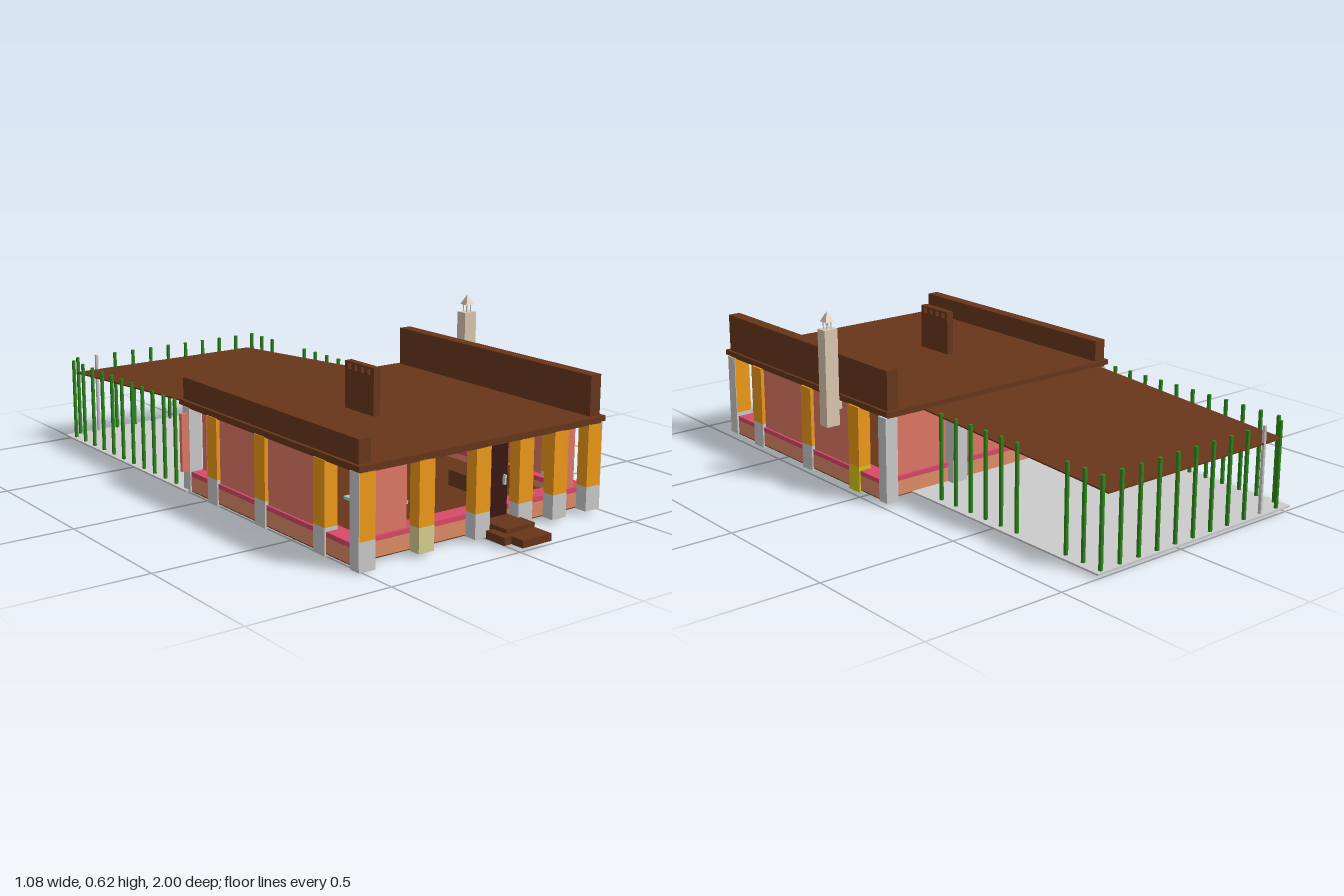
import * as THREE from 'three';

const mat = (color) => new THREE.MeshStandardMaterial({ color, side: THREE.DoubleSide, flatShading: true });
const M = {
  grey: mat(0xcccccc), brown: mat(0x68361a), dark: mat(0x3a1710), red: mat(0xe07866),
  base: mat(0xe08c68), sill: mat(0xd84a68), orange: mat(0xf09a18), yellow: mat(0xd8c818),
  khaki: mat(0xd8d090), beige: mat(0xdcc8b0), green: mat(0x2f8a1c), teal: mat(0x90d8c4),
};

export function createModel() {
  const root = new THREE.Group();
  const part = (name, parent = root) => {
    const g = new THREE.Group();
    g.name = name;
    parent.add(g);
    return g;
  };
  // Box given by its limits on each axis
  const box = (parent, name, m, x0, x1, y0, y1, z0, z1) => {
    const mesh = new THREE.Mesh(new THREE.BoxGeometry(x1 - x0, y1 - y0, z1 - z0), m);
    mesh.position.set((x0 + x1) / 2, (y0 + y1) / 2, (z0 + z1) / 2);
    mesh.name = name;
    parent.add(mesh);
    return mesh;
  };
  const column = (parent, x0, x1, z0, z1, foot = M.grey, body = M.orange, y0 = 0.01) => {
    const g = part('column', parent);
    box(g, 'columnFoot', foot, x0, x1, y0, 0.095, z0, z1);
    box(g, 'columnBody', body, x0, x1, 0.095, 0.306, z0, z1);
  };

  // Low base wall and sill around the floor, with a door gap at the front
  const base = part('baseWall');
  const low = (x0, x1, z0, z1) => {
    box(base, 'baseWallRun', M.base, x0, x1, 0.015, 0.066, z0, z1);
    box(base, 'sill', M.sill, x0, x1, 0.066, 0.082, z0, z1);
  };
  low(-0.508, -0.44, -0.1, 0.81);
  low(0.41, 0.478, -0.1, 0.81);
  low(-0.44, 0.0, 0.745, 0.81);
  low(0.12, 0.41, 0.745, 0.81);
  low(-0.44, 0.41, -0.1, -0.035);
  box(base, 'footing', M.brown, -0.508, -0.44, 0.012, 0.015, -0.1, 0.81);
  box(base, 'footing', M.brown, 0.41, 0.478, 0.012, 0.015, -0.1, 0.81);
  box(base, 'footing', M.brown, -0.44, 0.41, 0.012, 0.015, 0.745, 0.81);
  box(base, 'footing', M.brown, -0.44, 0.41, 0.012, 0.015, -0.1, -0.035);
  box(root, 'floor', M.brown, -0.44, 0.41, 0.035, 0.045, -0.035, 0.745);

  // Front columns, wall panels and window lintels
  const front = part('frontWall');
  [[-0.51, M.grey], [-0.285, M.khaki], [-0.06, M.grey], [0.12, M.grey], [0.27, M.grey], [0.42, M.grey]]
    .forEach(([x, foot]) => {
      const corner = x < -0.5 || x > 0.4;
      column(front, x, x + 0.06, 0.815, 0.86, foot, M.orange, x < -0.5 ? 0 : 0.012);
      // corner columns are grey when seen from the side
      if (corner) {
        const s = x < 0 ? x - 0.002 : x + 0.06;
        box(front, 'columnSide', M.grey, s, s + 0.002, 0.012, 0.306, 0.815, 0.86);
      }
    });
  for (const [x0, x1] of [[-0.45, -0.285], [0.33, 0.42]])
    box(front, 'frontPanel', M.red, x0, x1, 0.08, 0.306, 0.77, 0.8);
  for (const [x0, x1] of [[-0.225, -0.06], [0.18, 0.27]])
    box(front, 'windowLintel', M.red, x0, x1, 0.295, 0.306, 0.77, 0.8);

  // Front door and steps
  box(root, 'door', M.dark, 0, 0.12, 0.04, 0.306, 0.785, 0.805);
  box(root, 'doorHandle', M.grey, 0.1, 0.108, 0.15, 0.182, 0.805, 0.815);
  const steps = part('steps');
  box(steps, 'lowerStep', M.brown, 0.01, 0.13, 0.01, 0.035, 0.81, 1);
  box(steps, 'upperStep', M.brown, 0.01, 0.13, 0.035, 0.05, 0.81, 0.925);
  box(steps, 'sideStep', M.brown, -0.02, 0.01, 0.01, 0.036, 0.865, 0.95);

  // Side walls, alike on both sides
  for (const s of [-1, 1]) {
    const side = part(s < 0 ? 'rightWall' : 'leftWall');
    const run = (a, b) => [-0.015 + s * a, -0.015 + s * b].sort((p, q) => p - q);
    const [c0, c1] = run(0.45, 0.498);
    const [w0, w1] = run(0.455, 0.485);
    for (const z of [0.025, 0.31, 0.632])
      column(side, c0, c1, z, z + 0.06, z < 0.1 && s > 0 ? M.yellow : M.grey, M.orange, 0.004);
    for (const [z0, z1] of [[0.085, 0.31], [0.37, 0.632]])
      box(side, 'sidePanel', M.red, w0, w1, 0.08, 0.306, z0, z1);
    column(side, c0, c1, -0.13, -0.088, M.grey, M.grey);
  }

  // Rear wall with a doorway, and the open shutter at its corner
  const rear = part('rearWall');
  for (const [x0, x1] of [[-0.46, -0.14], [-0.05, 0.43]])
    box(rear, 'rearPanel', M.red, x0, x1, 0.08, 0.306, -0.09, -0.065);
  for (const x of [-0.28, 0.14]) column(rear, x, x + 0.06, -0.13, -0.088, M.grey, M.grey);
  box(rear, 'shutter', M.red, -0.54, -0.508, 0.085, 0.288, -0.107, -0.092);

  // Flat roof, parapets and slotted vent
  const roof = part('roof');
  box(roof, 'roofSlab', M.brown, -0.52, 0.485, 0.312, 0.33, -0.14, 0.87);
  box(roof, 'roofUnderside', M.brown, -0.51, 0.475, 0.304, 0.312, -0.13, 0.86);
  box(roof, 'lowParapet', M.brown, -0.508, -0.463, 0.33, 0.406, -0.13, 0.852);
  box(roof, 'highParapet', M.brown, 0.43, 0.475, 0.33, 0.466, -0.13, 0.852);
  const vent = part('roofVent', roof);
  box(vent, 'ventBody', M.brown, -0.135, -0.108, 0.33, 0.465, 0.285, 0.44);
  box(vent, 'ventCap', M.brown, -0.135, -0.108, 0.483, 0.49, 0.285, 0.44);
  for (let i = 0; i < 5; i++) {
    const z = 0.285 + i * 0.0345;
    box(vent, 'ventPier', M.brown, -0.135, -0.108, 0.465, 0.483, z, z + 0.017);
  }

  // Outside chimney with a pyramid cap on four rods
  const chimney = part('chimney');
  box(chimney, 'chimneyStack', M.beige, 0.488, 0.54, 0.222, 0.56, 0.125, 0.167);
  box(chimney, 'chimneyLink', M.beige, 0.46, 0.488, 0.275, 0.3, 0.135, 0.157);
  for (const dx of [-1, 1]) for (const dz of [-1, 1]) {
    const rod = new THREE.Mesh(new THREE.CylinderGeometry(0.002, 0.002, 0.032, 6), M.grey);
    rod.position.set(0.517 + dx * 0.009, 0.574, 0.143 + dz * 0.009);
    rod.name = 'capRod';
    chimney.add(rod);
  }
  const cap = new THREE.Mesh(new THREE.ConeGeometry(0.024, 0.036, 4), M.beige);
  cap.rotation.y = Math.PI / 4;
  cap.position.set(0.517, 0.604, 0.143);
  cap.name = 'chimneyCap';
  chimney.add(cap);

  // Patio slab, sloping canopy and pole fence
  const patio = part('patio');
  box(patio, 'patioSlab', M.grey, -0.525, 0.355, 0.01, 0.016, -1, -0.1);
  const outline = new THREE.Shape([[-0.475, 0.14], [0.33, 0.14], [0.31, 0.99], [-0.475, 0.99]]
    .map(([x, z]) => new THREE.Vector2(x, z)));
  const sheet = new THREE.ExtrudeGeometry(outline, { depth: 0.005, bevelEnabled: false });
  sheet.rotateX(-Math.PI / 2);
  const p = sheet.attributes.position;
  for (let i = 0; i < p.count; i++)
    p.setY(i, p.getY(i) + 0.307 + (p.getZ(i) + 0.14) * 0.062);
  sheet.computeVertexNormals();
  const canopy = new THREE.Mesh(sheet, M.brown);
  canopy.name = 'canopy';
  patio.add(canopy);

  const poleGeometry = new THREE.CylinderGeometry(0.007, 0.007, 0.302, 8);
  const pole = (x, z, m = M.green) => {
    const mesh = new THREE.Mesh(poleGeometry, m);
    mesh.position.set(x, 0.166, z);
    mesh.name = 'fencePole';
    patio.add(mesh);
  };
  for (let i = 0; i < 11; i++) {
    pole(-0.508, -0.19 - i * 0.0755);
    pole(0.33 - i * 0.08, -0.985, i === 9 ? M.grey : M.green);
    // the +x side leaves a gateway
    if (i < 6 || i > 7) pole(0.328, -0.227 - i * 0.0757);
  }

  // Furniture seen through the windows
  const inside = part('interior');
  box(inside, 'counter', M.grey, -0.225, -0.105, 0.045, 0.137, 0.0, 0.1);
  box(inside, 'cupboard', M.grey, -0.14, -0.08, 0.045, 0.292, 0.1, 0.16);
  box(inside, 'flue', M.grey, -0.105, -0.06, 0.235, 0.306, 0.34, 0.385);
  box(inside, 'tableTop', M.teal, -0.3, -0.165, 0.098, 0.108, 0.5, 0.66);
  box(inside, 'tableBase', M.grey, -0.26, -0.2, 0.045, 0.098, 0.55, 0.61);
  box(inside, 'bench', M.brown, 0.18, 0.38, 0.045, 0.1, 0.45, 0.6);

  return root;
}
